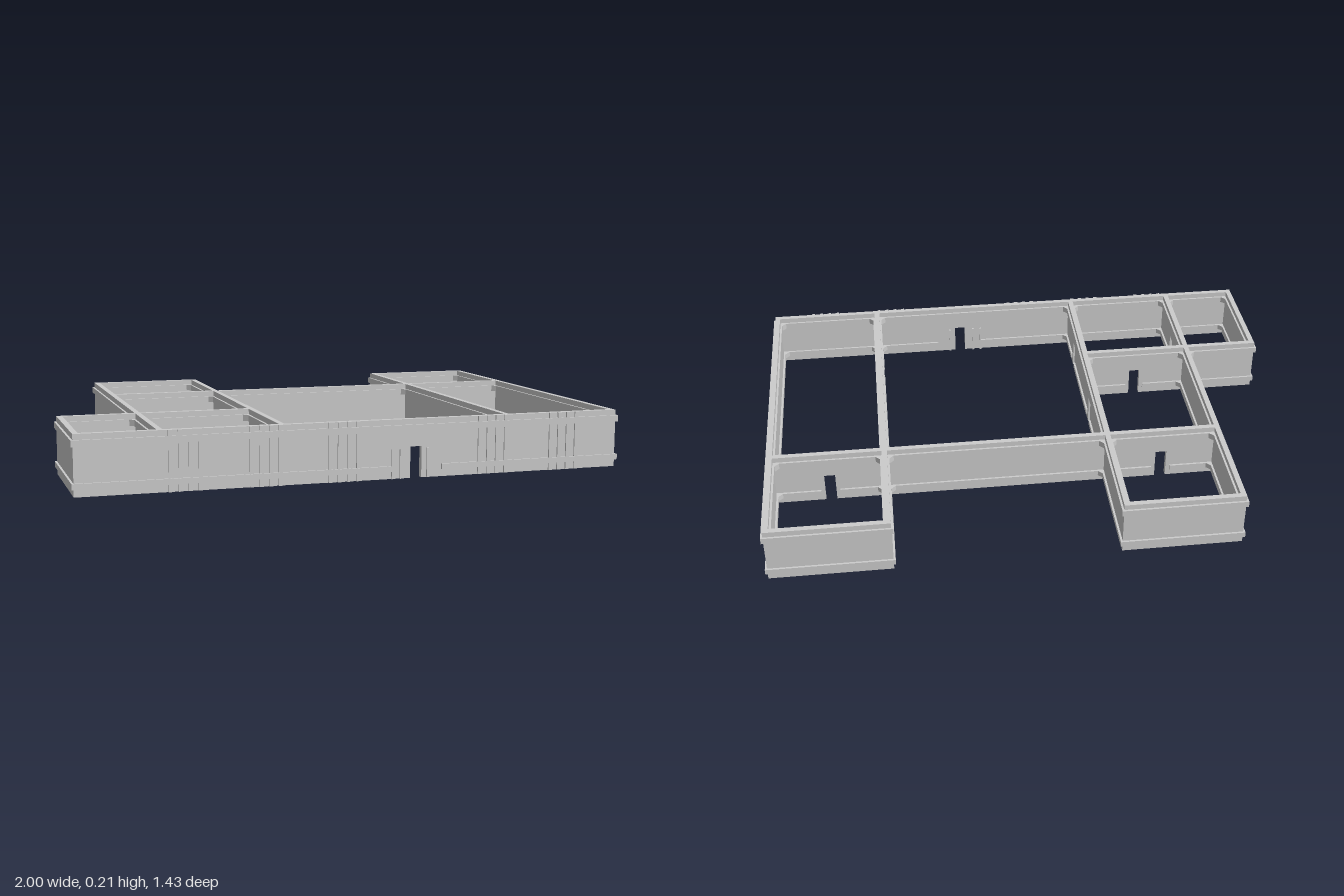
import * as THREE from 'three';

const H = 0.21;            // wall height
const CORE = 0.01;         // half thickness of a wall
const TRIM = 0.0175;       // half thickness of the trim bands
const BANDS = [[0.026, 0.046], [0.167, 0.19]];
const DOOR = { half: 0.021, height: 0.112 };

const X = [-0.982, -0.702, -0.28, 0.56, 0.982];
const Z = [-0.697, -0.28, 0.28, 0.697];

// Walls: fixed coordinate, start, end, doors as [position, gap start, gap end] of the lower band
const inner = (p) => [p, p - 0.036, p + 0.036];
const alongX = [
  { at: Z[0], from: X[1], to: X[2], doors: [] },
  { at: Z[0], from: X[3], to: X[4], doors: [] },
  { at: Z[1], from: X[1], to: X[4], doors: [inner(-0.49), inner(0.77)] },
  { at: Z[2], from: X[0], to: X[2], doors: [inner(-0.49)] },
  { at: Z[3], from: X[0], to: X[4], doors: [[0.206, 0.115, 0.302]] },
];
const alongZ = [
  { at: X[0], from: Z[2], to: Z[3], doors: [] },
  { at: X[1], from: Z[0], to: Z[3], doors: [inner(0.49)] },
  { at: X[2], from: Z[0], to: Z[3], doors: [inner(0.07), inner(0.49)] },
  { at: X[3], from: Z[0], to: Z[3], doors: [inner(0.49)] },
  { at: X[4], from: Z[0], to: Z[3], doors: [] },
];

export function createModel() {
  const model = new THREE.Group();
  const material = new THREE.MeshStandardMaterial({ color: 0xcccccc, flatShading: true });

  const add = (parent, name, geometry) => {
    const mesh = new THREE.Mesh(geometry, material);
    mesh.name = name;
    parent.add(mesh);
    return mesh;
  };
  const addBox = (parent, name, x0, x1, y0, y1, z0, z1) => {
    const mesh = add(parent, name, new THREE.BoxGeometry(x1 - x0, y1 - y0, z1 - z0));
    mesh.position.set((x0 + x1) / 2, (y0 + y1) / 2, (z0 + z1) / 2);
  };

  // One wall running along its local x axis, with door notches and trim on both faces
  const makeWall = ({ from, to, doors }) => {
    const wall = new THREE.Group();
    wall.name = 'wall';
    const outline = new THREE.Shape();
    outline.moveTo(from - CORE, 0);
    for (const [p] of doors) {
      outline.lineTo(p - DOOR.half, 0);
      outline.lineTo(p - DOOR.half, DOOR.height);
      outline.lineTo(p + DOOR.half, DOOR.height);
      outline.lineTo(p + DOOR.half, 0);
    }
    outline.lineTo(to + CORE, 0);
    outline.lineTo(to + CORE, H);
    outline.lineTo(from - CORE, H);
    const core = new THREE.ExtrudeGeometry(outline, { depth: CORE * 2, bevelEnabled: false });
    add(wall, 'wallPanel', core.translate(0, 0, -CORE));

    const [low, high] = BANDS;
    addBox(wall, 'upperTrim', from - TRIM, to + TRIM, high[0], high[1], -TRIM, TRIM);
    let start = from - TRIM;
    for (const [, gapStart, gapEnd] of [...doors, [0, to + TRIM, 0]]) {
      addBox(wall, 'lowerTrim', start, gapStart, low[0], low[1], -TRIM, TRIM);
      start = gapEnd;
    }
    model.add(wall);
    return wall;
  };

  for (const w of alongX) makeWall(w).position.z = w.at;
  for (const w of alongZ) {
    const wall = makeWall(w);
    wall.rotation.y = -Math.PI / 2;
    wall.position.x = w.at;
  }

  // Small diagonal fillets of trim in every inside corner
  const extends_ = (w, p, s) => (s > 0 ? w.to > p + 0.01 : w.from < p - 0.01);
  const covers = (w, p) => w.from <= p + 0.001 && w.to >= p - 0.001;
  const a = TRIM - 0.001, b = TRIM + 0.017;
  for (const h of alongX) for (const v of alongZ) {
    if (!covers(h, v.at) || !covers(v, h.at)) continue;
    for (const sx of [-1, 1]) for (const sz of [-1, 1]) {
      if (!extends_(h, v.at, sx) || !extends_(v, h.at, sz)) continue;
      const corner = new THREE.Shape([[a, a], [b, a], [a, b]]
        .map(([x, z]) => new THREE.Vector2(sx * x, -sz * z)));
      for (const [y0, y1] of BANDS) {
        const g = new THREE.ExtrudeGeometry(corner, { depth: y1 - y0, bevelEnabled: false });
        add(model, 'cornerTrim', g.rotateX(-Math.PI / 2)).position.set(v.at, y0, h.at);
      }
    }
  }

  // Groups of four vertical ribs on the front wall
  const front = Z[3];
  for (const c of [-0.62, -0.34, -0.06, 0.5, 0.78]) {
    for (let i = 0; i < 4; i++) {
      const x = c + (i - 1.5) * 0.034;
      addBox(model, 'frontRib', x - 0.007, x + 0.007, 0, H, front, front + TRIM - 0.002);
    }
  }

  // Slim posts beside the main door, on both faces
  for (const x of [0.118, 0.149, 0.25]) {
    addBox(model, 'doorPost', x - 0.004, x + 0.004, 0, 0.105, front - TRIM, front + TRIM - 0.002);
  }
  return model;
}
